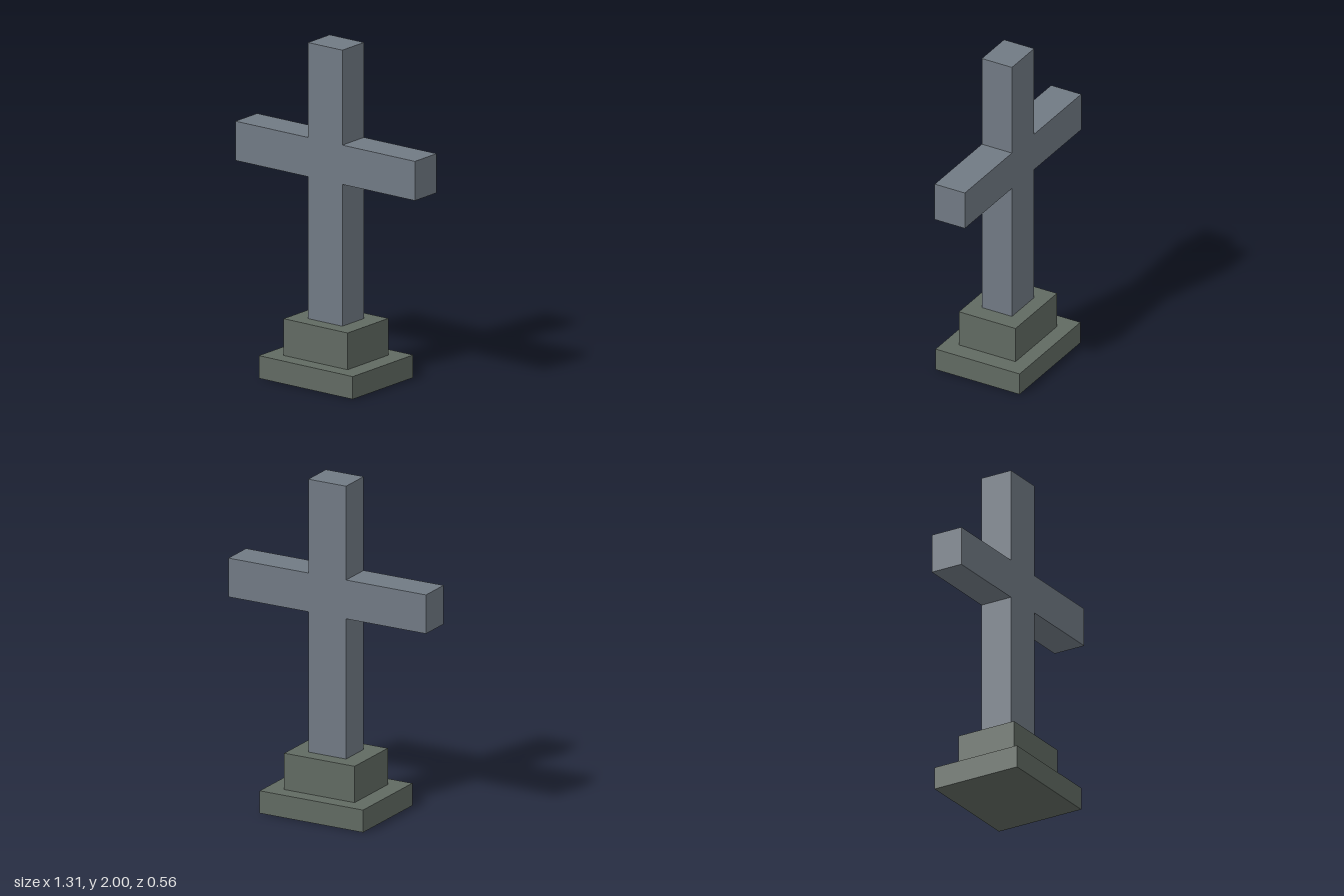
import * as THREE from 'three';

export function createModel() {
  const model = new THREE.Group();
  model.name = 'stoneCross';

  const crossStone = new THREE.MeshStandardMaterial({ color: 0x717a84 });
  crossStone.name = 'blue grey stone';
  const plinthStone = new THREE.MeshStandardMaterial({ color: 0x616a62 });
  plinthStone.name = 'green grey stone';

  // Two-step plinth
  const addStep = (name, width, depth, bottom, top) => {
    const step = new THREE.Mesh(new THREE.BoxGeometry(width, top - bottom, depth), plinthStone);
    step.name = name;
    step.position.y = (bottom + top) / 2;
    model.add(step);
  };
  addStep('lowerStep', 0.684, 0.558, 0, 0.135);
  addStep('upperStep', 0.466, 0.376, 0.135, 0.354);

  // Shaft and arms as one extruded outline; the right half is mirrored to the left
  const shaft = 0.125, arm = 0.654, depth = 0.2;
  const half = [[shaft, 0.354], [shaft, 1.2], [arm, 1.2], [arm, 1.434], [shaft, 1.434], [shaft, 2]];
  const mirrored = half.map(([x, y]) => [-x, y]).reverse();
  const outline = new THREE.Shape([...half, ...mirrored].map(([x, y]) => new THREE.Vector2(x, y)));
  const geometry = new THREE.ExtrudeGeometry(outline, { depth, bevelEnabled: false });
  geometry.translate(0, 0, -depth / 2);
  const cross = new THREE.Mesh(geometry, crossStone);
  cross.name = 'cross';
  model.add(cross);

  return model;
}
